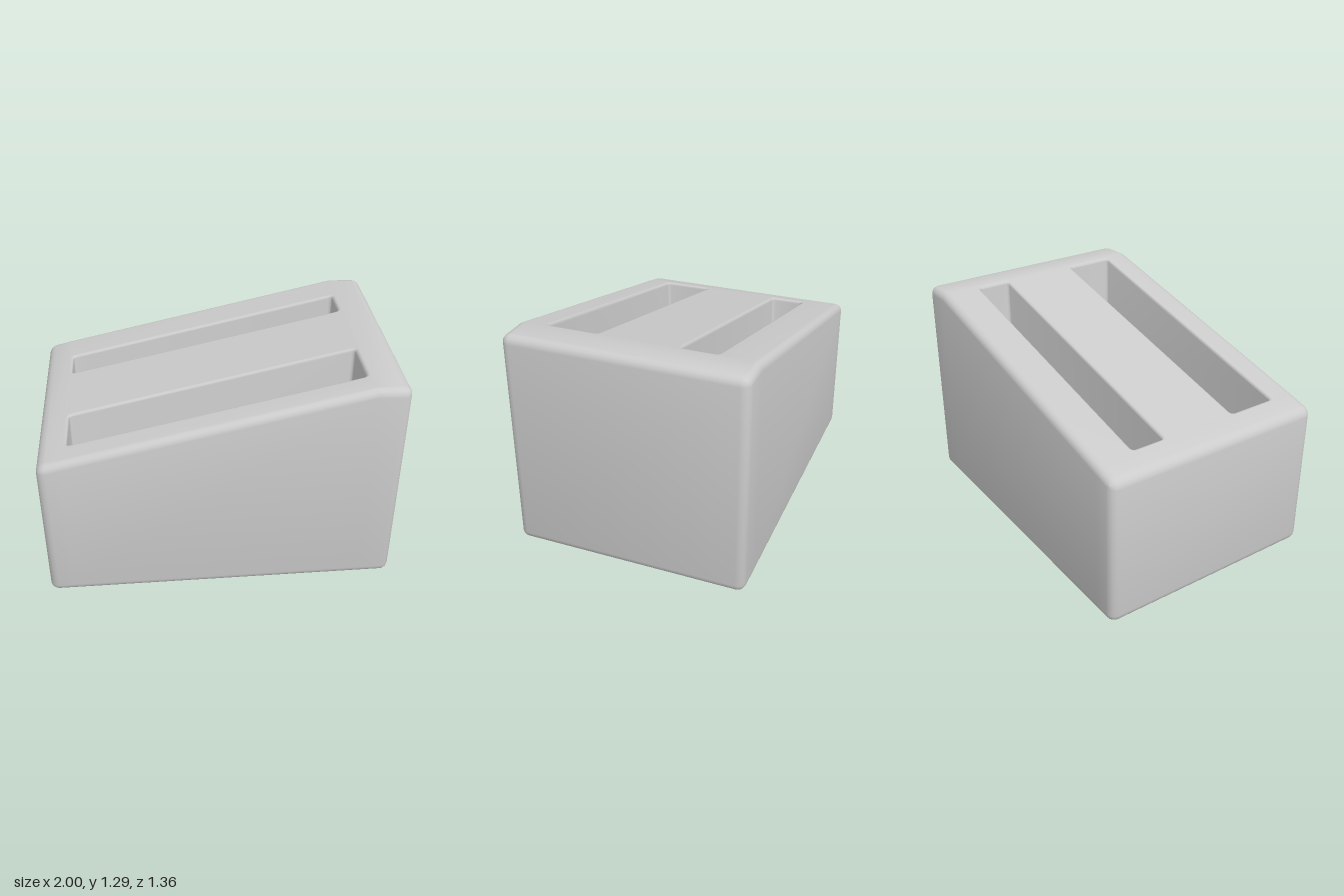
import * as THREE from 'three';
import { mergeGeometries, toCreasedNormals } from 'three/addons/utils/BufferGeometryUtils.js';

const BREAK_L = -0.86, BREAK_R = 0.81; // where the sloping top changes pitch
const TOP = [[-1, 0.888], [BREAK_L, 0.922], [BREAK_R, 1.286], [1, 1.28]];
const BEVEL = 0.045;
const STEPS = 4;
const BODY = { x0: -1, x1: 1, z0: -0.68, z1: 0.68, r: 0.05 };
const SLOTS = [
  { name: 'backSlot', x0: -0.85, x1: 0.8, z0: -0.455, z1: -0.225, r: 0.035 },
  { name: 'frontSlot', x0: -0.85, x1: 0.8, z0: 0.21, z1: 0.53, r: 0.035 },
];
const SLOT_DEPTH = 0.5;

// Height of the top at x
function topAt(x) {
  for (let i = 1; i < TOP.length; i++) {
    const [xa, ya] = TOP[i - 1], [xb, yb] = TOP[i];
    if (x <= xb || i === TOP.length - 1) return ya + (yb - ya) * (x - xa) / (xb - xa);
  }
}

// Rounded rectangle in plan, shrunk by inset, with extra points at the pitch changes
function outline(b, inset) {
  const r = Math.max(b.r - inset, 0.004), pts = [];
  const corners = [[b.x1, b.z1, -1, -1], [b.x0, b.z1, 1, -1], [b.x0, b.z0, 1, 1], [b.x1, b.z0, -1, 1]];
  corners.forEach(([x, z, sx, sz], k) => {
    const cx = x + sx * (inset + r), cz = z + sz * (inset + r);
    for (let i = 0; i <= STEPS; i++) {
      const a = (k + i / STEPS) * Math.PI / 2;
      pts.push([cx + r * Math.cos(a), cz + r * Math.sin(a)]);
    }
    if (b === BODY && k % 2 === 0) {
      const zEdge = z + sz * inset;
      const breaks = k === 0 ? [BREAK_R, BREAK_L] : [BREAK_L, BREAK_R];
      breaks.forEach((bx) => pts.push([bx, zEdge]));
    }
  });
  return pts;
}

// Ring of 3D points; inset null collapses it to the middle
function ring(b, inset, height) {
  const mid = [(b.x0 + b.x1) / 2, (b.z0 + b.z1) / 2];
  return outline(b, inset ?? 0).map((p) => {
    const [x, z] = inset === null ? mid : p;
    return [x, height(x), z];
  });
}

// Skin between successive rings
function loft(rings) {
  const pos = [];
  for (let k = 0; k + 1 < rings.length; k++) {
    const lo = rings[k], hi = rings[k + 1], n = lo.length;
    for (let i = 0; i < n; i++) {
      const j = (i + 1) % n;
      pos.push(...lo[i], ...hi[i], ...lo[j], ...lo[j], ...hi[i], ...hi[j]);
    }
  }
  const g = new THREE.BufferGeometry();
  g.setAttribute('position', new THREE.Float32BufferAttribute(pos, 3));
  return g;
}

// Flat piece of the top between two x positions, laid onto the slope
function deck(xa, xb, holes = []) {
  const z = BODY.z1 - BEVEL;
  const shape = new THREE.Shape([[xa, -z], [xb, -z], [xb, z], [xa, z]].map((p) => new THREE.Vector2(...p)));
  shape.holes = holes.map((s) => new THREE.Path(outline(s, 0).map(([x, pz]) => new THREE.Vector2(x, -pz))));
  const g = new THREE.ShapeGeometry(shape).rotateX(-Math.PI / 2).toNonIndexed();
  g.deleteAttribute('uv');
  g.deleteAttribute('normal');
  const p = g.attributes.position;
  for (let i = 0; i < p.count; i++) p.setY(i, topAt(p.getX(i)));
  return g;
}

export function createModel() {
  const group = new THREE.Group();
  const material = new THREE.MeshStandardMaterial({ color: 0xcccccc });
  const add = (name, geometry) => {
    const mesh = new THREE.Mesh(toCreasedNormals(geometry, 0.55), material);
    mesh.name = name;
    group.add(mesh);
  };
  // Quarter-round steps as [inset, distance from the face]
  const arc = (size) => Array.from({ length: STEPS + 1 }, (_, i) => {
    const a = (i / STEPS) * Math.PI / 2;
    return [size * (1 - Math.sin(a)), size * (1 - Math.cos(a))];
  });

  // Wedge-topped block with softened edges
  const rings = [ring(BODY, null, () => 0)];
  arc(BEVEL).forEach(([inset, d]) => rings.push(ring(BODY, inset, () => d)));
  arc(BEVEL).reverse().forEach(([inset, d]) => rings.push(ring(BODY, inset, (x) => topAt(x) - d)));
  add('block', mergeGeometries([
    loft(rings),
    deck(BODY.x0 + BEVEL, BREAK_L),
    deck(BREAK_L, BREAK_R, SLOTS),
    deck(BREAK_R, BODY.x1 - BEVEL),
  ]));

  // Two upright slots: rounded rim, straight walls, rounded floor
  const rim = 0.016, fillet = 0.02;
  for (const s of SLOTS) {
    const walls = [];
    arc(rim).forEach(([inset, d]) => walls.push(ring(s, rim - inset, (x) => topAt(x) - d)));
    arc(fillet).reverse().forEach(([inset, d]) =>
      walls.push(ring(s, rim + inset, (x) => topAt(x) - SLOT_DEPTH + d)));
    walls.push(ring(s, null, (x) => topAt(x) - SLOT_DEPTH));
    add(s.name, loft(walls));
  }
  return group;
}
